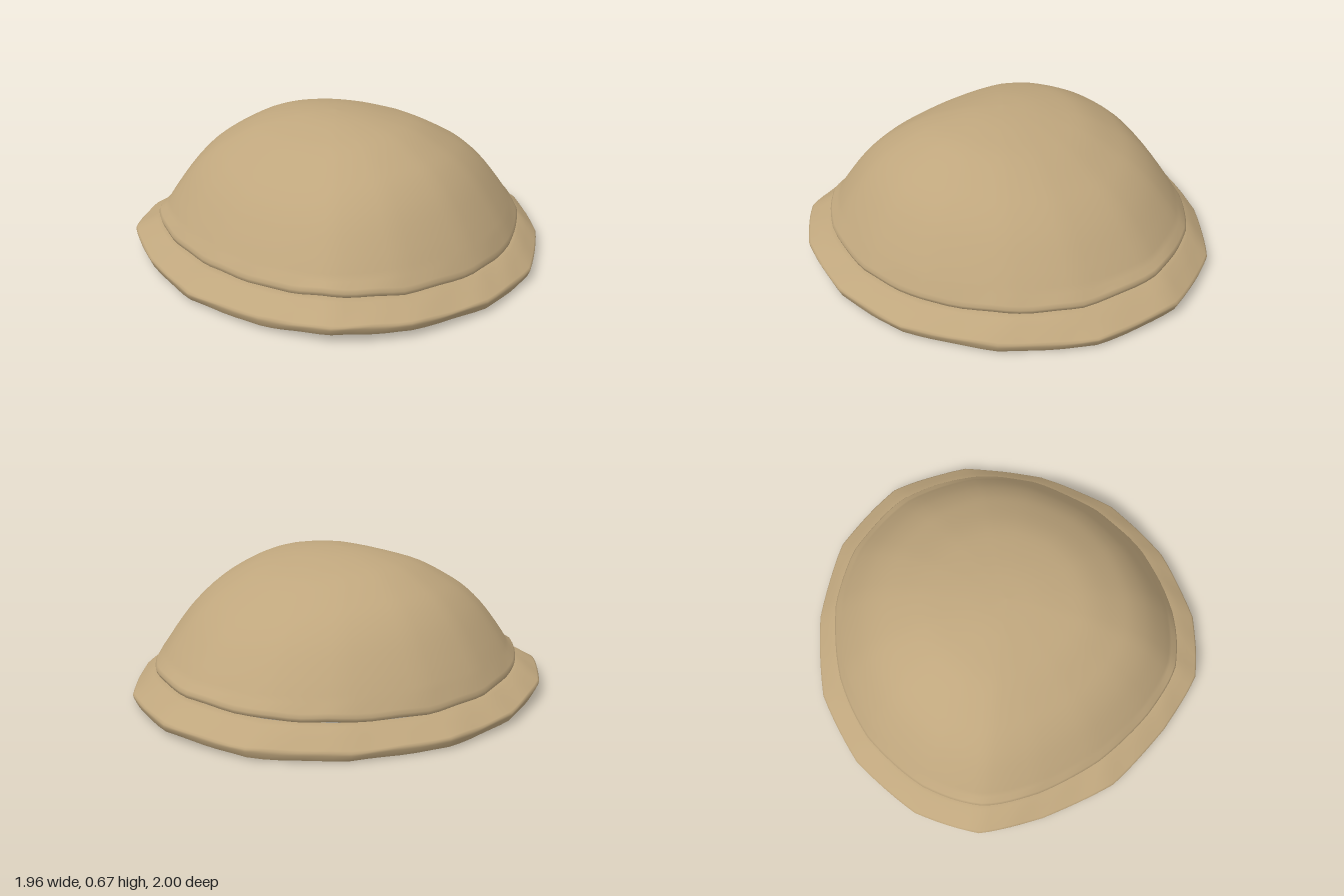
import * as THREE from 'three';

const V = (x, y, z) => new THREE.Vector3(x, y, z);

// Half outlines, front to back: [x, z, height]
const rimHalf = [[0, 1, 0.02], [0.38, 0.93, 0.022], [0.68, 0.81, 0.047], [0.88, 0.55, 0.04], [0.98, 0.17, 0.022],
  [0.94, -0.22, 0.012], [0.73, -0.6, 0.006], [0.41, -0.89, 0.012], [0, -1, 0.03]];
const domeHalf = [[0, 0.875, 0.13], [0.34, 0.83, 0.135], [0.6, 0.72, 0.15], [0.78, 0.48, 0.135], [0.868, 0.12, 0.125],
  [0.82, -0.22, 0.12], [0.635, -0.56, 0.13], [0.38, -0.775, 0.135], [0, -0.875, 0.145]];

// Mirror a half outline into a closed loop of points, with `per` steps between corners
function outline(half, per, smooth) {
  const full = [...half, ...half.slice(1, -1).reverse().map(([x, z, y]) => [-x, z, y])].map(([x, z, y]) => V(x, y, z));
  const n = full.length;
  const curve = new THREE.CatmullRomCurve3(full, true, 'centripetal');
  return Array.from({ length: n * per }, (_, k) => {
    const i = Math.floor(k / per), f = (k % per) / per;
    const straight = full[i].clone().lerp(full[(i + 1) % n], f);
    return straight.lerp(curve.getPoint(k / (n * per)), smooth);
  });
}

// Skin a list of closed rings with smooth normals
function skin(rings, name, material) {
  const n = rings[0].length, index = [];
  for (let i = 0; i < rings.length - 1; i++) {
    for (let j = 0; j < n; j++) {
      const k = (j + 1) % n;
      const a = i * n + j, b = a + n, c = i * n + k, d = c + n;
      index.push(a, b, c, c, b, d);
    }
  }
  const geometry = new THREE.BufferGeometry().setFromPoints(rings.flat());
  geometry.setIndex(index);
  geometry.computeVertexNormals();
  const mesh = new THREE.Mesh(geometry, material);
  mesh.name = name;
  return mesh;
}

export function createModel() {
  const group = new THREE.Group();
  group.name = 'shell';
  const material = new THREE.MeshStandardMaterial({ color: 0xbfa67d, side: THREE.DoubleSide });
  const apexZ = 0.08, per = 6;
  const domeEdge = outline(domeHalf, per, 0.75);
  const rimEdge = outline(rimHalf, per, 0.45);

  // Domed shell: [fraction of outline radius, height], apex to lip; fuller at the sides than front and back
  const profile = new THREE.CatmullRomCurve3([[0.001, 0.674], [0.15, 0.666], [0.3, 0.643], [0.45, 0.607], [0.6, 0.54],
    [0.7, 0.483], [0.8, 0.4], [0.9, 0.285], [0.96, 0.205]].map(([r, y]) => V(r, y, 0)));
  const outer = profile.getPoints(24).map(({ x: r, y }) => domeEdge.map((p) => {
    const side = p.x / 0.87, along = p.z / 0.875;
    const bulge = 6.75 * r * r * (1 - r) * (0.022 * side * side - 0.03 * along * along);
    return V(p.x * r, y + bulge, apexZ + (p.z - apexZ) * r);
  }));
  // Rounded lip
  const lip = [[0.99, 0.036], [1, 0.02], [0.995, 0.002], [0.98, -0.005], [0.965, 0.004]].map(([r, lift]) =>
    domeEdge.map((p, j) => V(p.x * r, p.y + lift + 0.003 * Math.sin(j * 1.3), apexZ + (p.z - apexZ) * r)));
  // Inner wall follows the outer one, slightly smaller
  const inner = outer.map((ring) => ring.map((p) =>
    V(p.x * 0.967, p.y - 0.025, apexZ + (p.z - apexZ) * 0.967))).reverse();
  group.add(skin([...outer, ...lip, ...inner], 'dome', material));

  // Flared rim: [position from dome outline (0) to rim outline (1), height from rim bottom (0) to dome lip (1), lift]
  const section = [[-0.2, 0.9, 0], [-0.15, 0.97, 0], [0.1, 0.87, 0.003], [0.5, 0.48, 0.019], [0.93, 0.07, 0.033],
    [1, 0, 0.034], [0.99, 0, 0.022], [0.9, 0, -0.004], [0.83, 0, -0.005], [0.72, 0.09, 0], [0.35, 0.45, 0],
    [-0.1, 0.82, 0], [-0.2, 0.9, 0]];
  const rimRings = section.map(([out, up, lift], i) => rimEdge.map((p, j) => {
    const d = domeEdge[j];
    const wobble = i > 1 && i < 11 ? 0.003 * Math.sin(j * 1.1 + i * 0.9) * Math.sin(j * 0.47 + 1) : 0;
    return V(THREE.MathUtils.lerp(d.x, p.x, out),
      Math.max(0, THREE.MathUtils.lerp(p.y, d.y, up) + lift + wobble),
      THREE.MathUtils.lerp(d.z, p.z, out));
  }));
  group.add(skin(rimRings, 'rim', material));

  return group;
}
